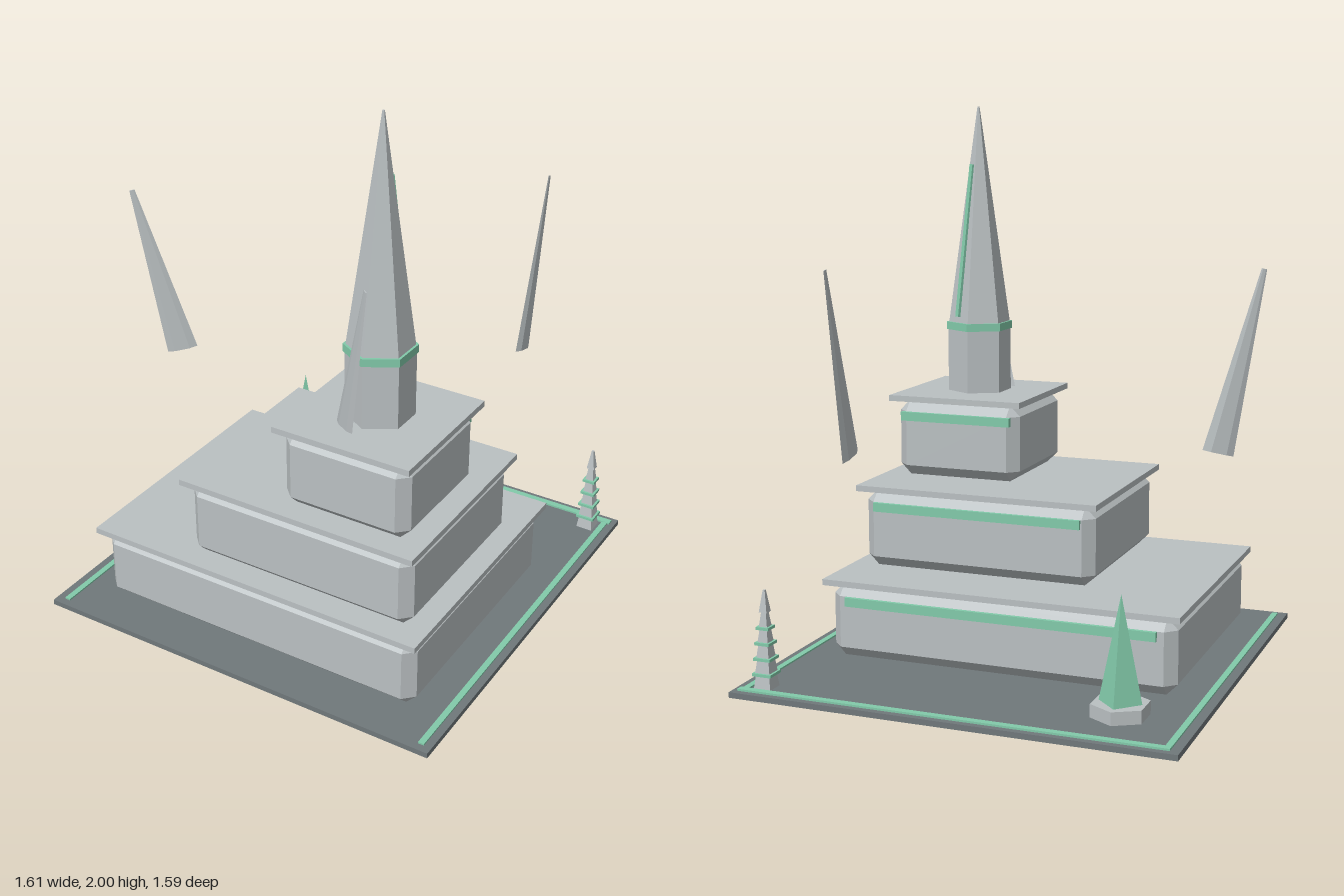
import * as THREE from 'three';
import { ConvexGeometry } from 'three/addons/geometries/ConvexGeometry.js';

export function createModel() {
  const model = new THREE.Group();
  const material = (name, color) => {
    const m = new THREE.MeshStandardMaterial({ color, flatShading: true });
    m.name = name;
    return m;
  };
  const stone = material('pale stone', 0xbac0c2);
  const paving = material('dark paving', 0x70787b);
  const jade = material('jade green', 0x82caaa);

  const add = (name, geometry, mat, x = 0, y = 0, z = 0, parent = model) => {
    const mesh = new THREE.Mesh(geometry, mat);
    mesh.name = name;
    mesh.position.set(x, y, z);
    parent.add(mesh);
    return mesh;
  };
  // Box given by its limits on each axis
  const block = (name, mat, x0, x1, y0, y1, z0, z1, parent = model) =>
    add(name, new THREE.BoxGeometry(x1 - x0, y1 - y0, z1 - z0), mat,
      (x0 + x1) / 2, (y0 + y1) / 2, (z0 + z1) / 2, parent);
  // Upright prism or frustum standing on y0
  const frustum = (name, mat, rTop, rBottom, y0, y1, sides, x, z, parent = model) =>
    add(name, new THREE.CylinderGeometry(rTop, rBottom, y1 - y0, sides), mat, x, (y0 + y1) / 2, z, parent);

  // Box with every edge cut flat
  const chamferBox = (w, h, d, c) => {
    const points = [];
    for (const sx of [-1, 1]) for (const sy of [-1, 1]) for (const sz of [-1, 1]) {
      const X = sx * w / 2, Y = sy * h / 2, Z = sz * d / 2;
      points.push(
        new THREE.Vector3(X, Y - sy * c, Z - sz * c),
        new THREE.Vector3(X - sx * c, Y, Z - sz * c),
        new THREE.Vector3(X - sx * c, Y - sy * c, Z));
    }
    return new ConvexGeometry(points);
  };

  // Plaza with inlaid strips along three sides
  block('plaza', paving, -0.78, 0.805, 0, 0.02, -0.79, 0.795);
  block('leftInlay', jade, 0.755, 0.777, 0.018, 0.026, -0.765, 0.767);
  block('rightInlay', jade, -0.747, -0.725, 0.018, 0.026, -0.765, 0.767);
  block('backInlay', jade, -0.747, 0.785, 0.018, 0.027, -0.767, -0.742);

  // Three stepped tiers, each with a roof slab and a strip on the back wall
  const tiers = [
    { x0: -0.635, x1: 0.66, z0: -0.322, z1: 0.648, y: 0.02 },
    { x0: -0.272, x1: 0.62, z0: -0.122, z1: 0.607, y: 0.312 },
    { x0: 0.095, x1: 0.58, z0: 0.083, z1: 0.567, y: 0.62 },
  ];
  tiers.forEach(({ x0, x1, z0, z1, y }, i) => {
    const tier = new THREE.Group();
    tier.name = `tier${i + 1}`;
    model.add(tier);
    const slabTop = [0.312, 0.62, 0.928][i], top = slabTop - 0.022;
    const cx = (x0 + x1) / 2, w = x1 - x0, o = 0.02;
    add('walls', chamferBox(w, top - y, z1 - z0, 0.04), stone, cx, (y + top) / 2, (z0 + z1) / 2, tier);
    block('roofSlab', stone, x0 - o, x1 + o, top, slabTop, z0 - o, z1 + o, tier);
    block('backStrip', jade, cx - w * 0.45, cx + w * 0.45, top - 0.073, top - 0.04, z0 - 0.014, z0 + 0.005, tier);
  });

  // Six-sided spire with a collar
  const spire = new THREE.Group();
  spire.name = 'spire';
  spire.position.set(0.338, 0, 0.321);
  model.add(spire);
  frustum('shaft', stone, 0.12, 0.12, 0.925, 1.18, 6, 0, 0, spire);
  frustum('needle', stone, 0.004, 0.118, 1.18, 2, 6, 0, 0, spire);
  frustum('collar', jade, 0.126, 0.126, 1.163, 1.192, 6, 0, 0, spire);

  // Thin rib lying on the back left face of the needle
  const onFace = (y) => {
    const r = 0.1035 * (2 - y) / 0.82 + 0.003;
    return new THREE.Vector3(0.5 * r, y, -0.866 * r);
  };
  const low = onFace(1.215), high = onFace(1.785);
  const rib = add('needleRib', new THREE.BoxGeometry(0.018, 0.014, low.distanceTo(high)), jade, 0, 0, 0, spire);
  rib.position.copy(low).lerp(high, 0.5);
  rib.quaternion.setFromRotationMatrix(new THREE.Matrix4().lookAt(high, low, new THREE.Vector3(0.5, 0, -0.866)));

  // Three flat leaning shards, placed by the middle of the lower end
  const shardGeometry = new THREE.CylinderGeometry(0.01, 0.058, 0.665, 6)
    .rotateY(Math.PI / 2).scale(1, 1, 0.2).translate(0, 0.3325, 0);
  [
    [-0.665, 0.79, 0.088, Math.PI / 6],
    [0.265, 0.837, 0.45, Math.PI * 5 / 6],
    [0.455, 0.815, -0.54, -Math.PI / 2],
  ].forEach(([x, y, z, yaw], i) => {
    const shard = add(`shard${i + 1}`, shardGeometry, stone, x, y, z);
    shard.rotation.set(0, yaw, 0.235, 'YXZ');
  });

  // Green pyramid on a six-sided plinth
  frustum('plinth', stone, 0.102, 0.102, 0.02, 0.066, 6, -0.51, -0.528);
  frustum('pyramid', jade, 0, 0.075, 0.066, 0.43, 4, -0.51, -0.528);

  // Small square pagoda: tapered storeys with thin green eaves
  const pagoda = new THREE.Group();
  pagoda.name = 'pagoda';
  pagoda.position.set(0.71, 0, -0.698);
  model.add(pagoda);
  const square = (name, mat, wTop, wBottom, y0, y1) => {
    const s = Math.SQRT1_2;
    frustum(name, mat, wTop * s, wBottom * s, y0, y1, 4, 0, 0, pagoda).rotation.y = Math.PI / 4;
  };
  for (let i = 0; i < 5; i++) {
    const y = 0.02 + i * 0.054, w = 0.064 - i * 0.008;
    square('storey', stone, w - 0.014, w, y, y + 0.054);
    if (i < 4) square('eave', jade, w + 0.008, w + 0.008, y + 0.046, y + 0.056);
  }
  square('finial', stone, 0.008, 0.03, 0.288, 0.365);
  return model;
}
